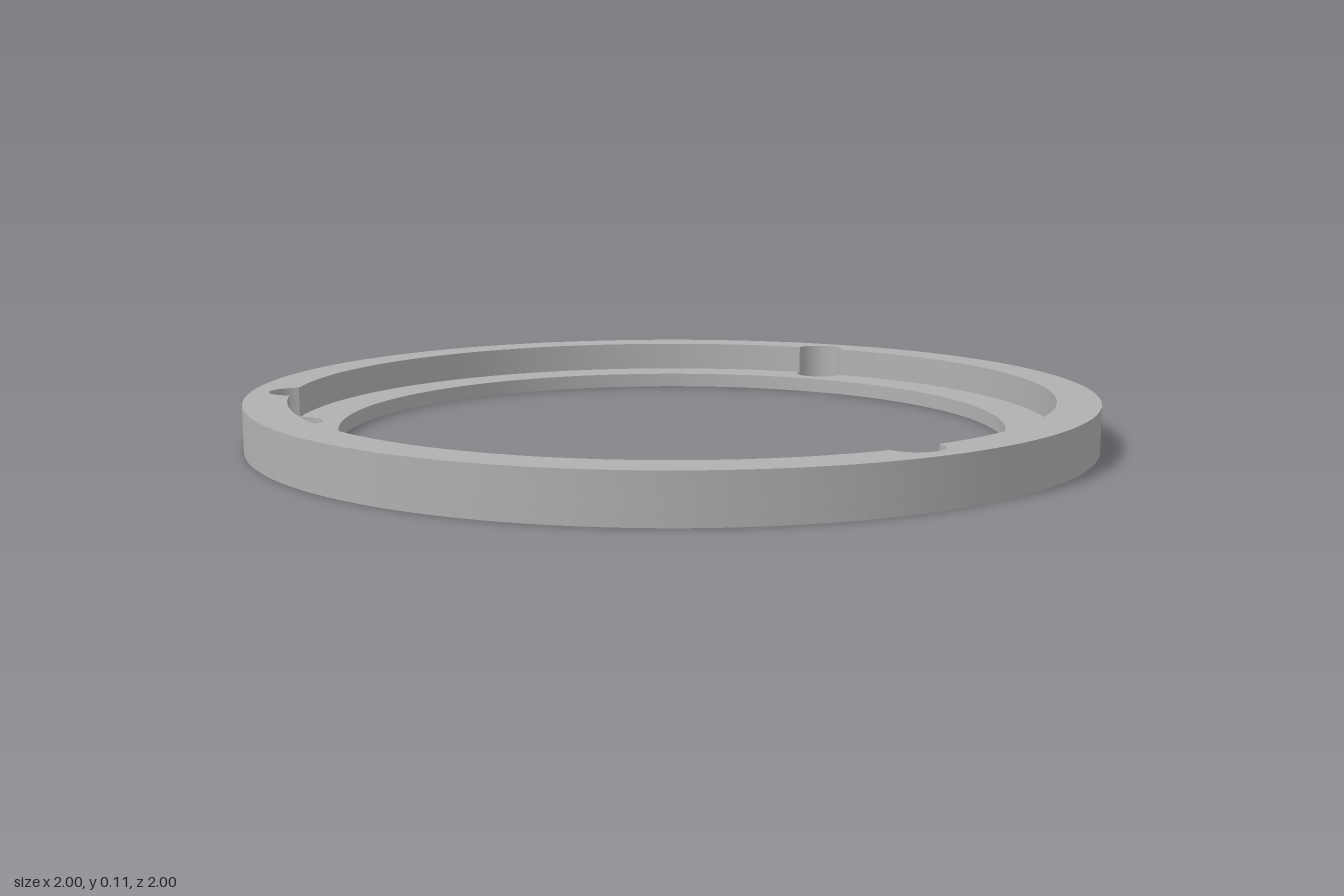
import * as THREE from 'three';
import { toCreasedNormals } from 'three/addons/utils/BufferGeometryUtils.js';

const OUTER = 1, STEP = 0.9, INNER = 0.787;
const HEIGHT = 0.108, FLOOR = 0.036;
const HOLE = 0.062, HOLE_RING = 0.895;
const holeAngles = [Math.PI / 3, Math.PI, (5 * Math.PI) / 3];

// Points along an arc, without its last point
function arc(cx, cy, r, from, to, n) {
  return Array.from({ length: n }, (_, i) => {
    const a = from + ((to - from) * i) / n;
    return new THREE.Vector2(cx + r * Math.cos(a), cy + r * Math.sin(a));
  });
}
const circle = (cx, cy, r, n) => arc(cx, cy, r, 0, Math.PI * 2, n);

// Flat ring with the given cut-outs, extruded upward from y0
function plate(name, holes, y0, thickness, material) {
  const shape = new THREE.Shape(circle(0, 0, OUTER, 120));
  holes.forEach((points) => shape.holes.push(new THREE.Path(points)));
  let geo = new THREE.ExtrudeGeometry(shape, { depth: thickness, bevelEnabled: false });
  geo.rotateX(-Math.PI / 2);
  geo.translate(0, y0, 0);
  // enlarged while creasing so that close vertices stay distinct
  geo.scale(100, 100, 100);
  geo = toCreasedNormals(geo, 0.5);
  geo.scale(0.01, 0.01, 0.01);
  const mesh = new THREE.Mesh(geo, material);
  mesh.name = name;
  return mesh;
}

export function createModel() {
  const group = new THREE.Group();
  group.name = 'mountingRing';
  const grey = new THREE.MeshStandardMaterial({ color: 0xb0b0b0 });
  grey.name = 'grey';

  // Lower flange with three through holes
  const screwHoles = holeAngles.map((a) =>
    circle(HOLE_RING * Math.cos(a), HOLE_RING * Math.sin(a), HOLE, 32));
  group.add(plate('flange', [circle(0, 0, INNER, 120), ...screwHoles], 0, FLOOR, grey));

  // Raised rim whose inner wall is notched around each hole
  const d = Math.acos((STEP ** 2 + HOLE_RING ** 2 - HOLE ** 2) / (2 * STEP * HOLE_RING));
  const phi = Math.atan2(STEP * Math.sin(d), STEP * Math.cos(d) - HOLE_RING);
  const wall = holeAngles.flatMap((a) => [
    ...arc(HOLE_RING * Math.cos(a), HOLE_RING * Math.sin(a), HOLE, a - phi, a + phi, 18),
    ...arc(0, 0, STEP, a + d, a + (2 * Math.PI) / 3 - d, 40),
  ]);
  group.add(plate('rim', [wall], FLOOR, HEIGHT - FLOOR, grey));

  return group;
}
